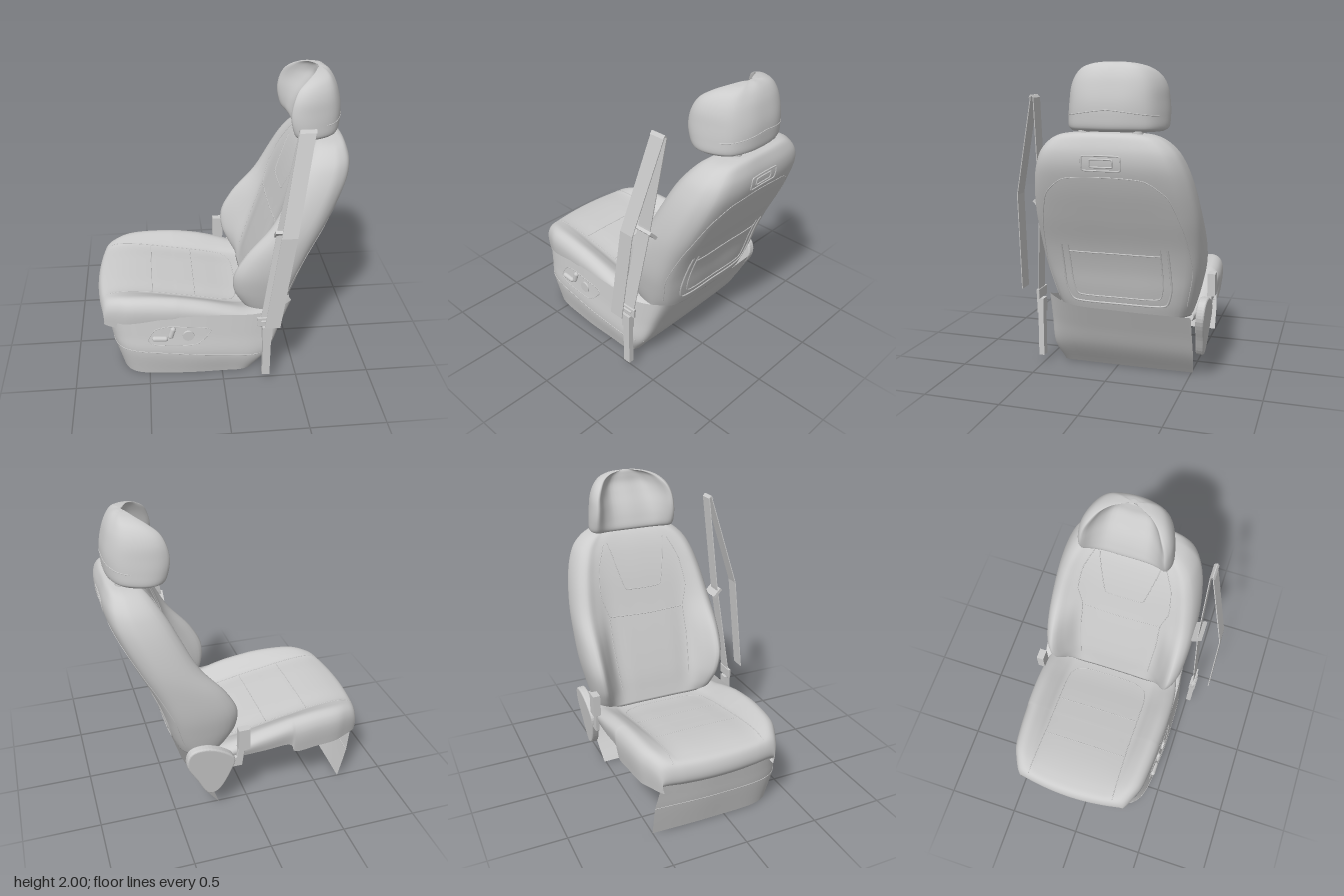
import * as THREE from 'three';

const V = (x, y, z) => new THREE.Vector3(x, y, z);
const mat = new THREE.MeshStandardMaterial({ color: 0xcccccc, side: THREE.DoubleSide });
const ZC = -0.09; // centre line of the seat

export function createModel() {
  const group = new THREE.Group();
  const add = (name, geo, x = 0, y = 0, z = 0) => {
    const m = new THREE.Mesh(geo, mat);
    m.name = name;
    m.position.set(x, y, z);
    group.add(m);
    m.updateMatrixWorld();
    return m;
  };

  // Smooth skin through cross-sections, interpolated both ways
  const loft = (sections, nu, nv, closed = false, caps = false) => {
    const rows = sections.map(s => {
      const c = new THREE.CatmullRomCurve3(s, closed);
      return Array.from({ length: closed ? nu : nu + 1 }, (_, i) => c.getPoint(i / nu));
    });
    const cols = rows[0].map((_, i) => new THREE.CatmullRomCurve3(rows.map(r => r[i])));
    const n = cols.length, pos = [], idx = [];
    for (let j = 0; j <= nv; j++) cols.forEach(c => pos.push(...c.getPoint(j / nv).toArray()));
    for (let j = 0; j < nv; j++) for (let i = 0; i < nu; i++) {
      const a = j * n + i, b = j * n + (i + 1) % n;
      idx.push(a, b, a + n, b, b + n, a + n);
    }
    if (caps) for (const j of [0, nv]) {
      const mid = V(0, 0, 0), k = pos.length / 3;
      for (let i = 0; i < n; i++) mid.add(V(...pos.slice((j * n + i) * 3, (j * n + i) * 3 + 3)));
      pos.push(...mid.divideScalar(n).toArray());
      for (let i = 0; i < n; i++) {
        const a = j * n + i, b = j * n + (i + 1) % n;
        idx.push(...(j ? [a, b, k] : [b, a, k]));
      }
    }
    const g = new THREE.BufferGeometry();
    g.setAttribute('position', new THREE.Float32BufferAttribute(pos, 3));
    g.setIndex(idx);
    g.computeVertexNormals();
    return g;
  };

  // Closed ring from half a section of [x, z offset], mirrored about the centre line
  const ring = (half, y, zc) => [
    ...half.map(([x, z]) => V(x, y, zc + z)),
    ...half.slice(1, -1).reverse().map(([x, z]) => V(x, y, zc - z))];

  // Thin cord laid on a mesh by casting each path point along dir
  const cord = (name, mesh, pts, dir, r = 0.004, closed = false, tension = 0.3) => {
    const path = new THREE.CatmullRomCurve3(pts, closed, 'catmullrom', tension);
    const hits = [];
    for (let i = 0; i <= (closed ? 39 : 40); i++) {
      const p = path.getPoint(i / 40);
      const h = new THREE.Raycaster(p.addScaledVector(dir, -3), dir).intersectObject(mesh)[0];
      if (h) hits.push(h.point);
    }
    add(name, new THREE.TubeGeometry(new THREE.CatmullRomCurve3(hits, closed), 80, r, 6, closed));
  };

  // Bevelled plate from an outline of [x, y], rounded or straight-edged
  const plate = (pts, depth, bevel, smooth = true) => {
    const curve = new THREE.CatmullRomCurve3(pts.map(p => V(p[0], p[1], 0)), true);
    const outline = smooth ? curve.getPoints(48).slice(0, -1) : curve.points;
    const s = new THREE.Shape(outline.map(p => new THREE.Vector2(p.x, p.y)));
    return new THREE.ExtrudeGeometry(s, { depth, bevelSize: bevel, bevelThickness: bevel, bevelSegments: 4 });
  };

  // Backrest: y, centre front, bolster front, back, half width
  const backrest = add('backrest', loft([
    [0.44, 0.18, 0.18, 0.45, 0.43], [0.52, 0.2, 0.13, 0.48, 0.455], [0.62, 0.225, 0.085, 0.51, 0.48],
    [0.75, 0.265, 0.08, 0.545, 0.505], [0.9, 0.315, 0.155, 0.6, 0.515], [1.1, 0.385, 0.32, 0.695, 0.51],
    [1.3, 0.455, 0.425, 0.785, 0.48], [1.42, 0.505, 0.485, 0.825, 0.445], [1.5, 0.545, 0.535, 0.83, 0.405],
    [1.56, 0.585, 0.58, 0.815, 0.345], [1.59, 0.615, 0.615, 0.8, 0.285], [1.606, 0.645, 0.65, 0.775, 0.18],
  ].map(([y, f, b, r, w]) => ring([
    [f, 0], [f, 0.3 * w], [f - 0.003, 0.56 * w], [b * 0.5 + f * 0.5, 0.72 * w], [b, 0.86 * w],
    [b * 0.85 + r * 0.15, 0.965 * w], [b * 0.45 + r * 0.55, w], [r - 0.09 * (r - f) / 0.3, 0.96 * w],
    [r - 0.03 * (r - f) / 0.3, 0.84 * w], [r, 0.5 * w], [r, 0]], y, ZC)), 80, 60, true, true));

  // Cushion: x, centre height, bolster height, far skirt height, half width
  const cushion = add('cushion', loft([
    [-0.79, 0.385, 0.385, 0.365, 0.39], [-0.83, 0.43, 0.43, 0.365, 0.39], [-0.835, 0.49, 0.49, 0.365, 0.39],
    [-0.81, 0.545, 0.545, 0.365, 0.41], [-0.74, 0.565, 0.58, 0.365, 0.445], [-0.62, 0.57, 0.598, 0.36, 0.475],
    [-0.46, 0.555, 0.602, 0.36, 0.495], [-0.31, 0.53, 0.592, 0.36, 0.505], [-0.28, 0.525, 0.588, 0.42, 0.505],
    [-0.1, 0.49, 0.555, 0.42, 0.51], [0.06, 0.455, 0.51, 0.41, 0.505], [0.18, 0.44, 0.475, 0.4, 0.49],
    [0.34, 0.44, 0.46, 0.4, 0.45],
  ].map(([x, c, b, s, w]) => {
    const side = (k, low) => [[0.97, low], [1, (low + b) / 2], [0.99, low * 0.25 + b * 0.75], [0.945, b - (b - low) * 0.08],
      [0.86, b], [0.72, (b + c) / 2], [0.61, c], [0.3, c]].map(([u, y]) =>
      V(x + (x < -0.7 ? 0.045 * u * u : 0), y, ZC + 0.005 + k * u * w));
    return [...side(-1, s), V(x, c, ZC), ...side(1, 0.37).reverse()];
  }), 64, 60));

  // Base skirt wrapping front, +z side and rear: bottom x,z / seam x,y,z / top x,y,z
  const skirt = [
    [-0.68, -0.5, -0.73, 0.22, -0.5, -0.768, 0.41, -0.47], [-0.69, -0.08, -0.75, 0.22, -0.08, -0.79, 0.41, -0.08],
    [-0.67, 0.27, -0.72, 0.22, 0.29, -0.755, 0.41, 0.28], [-0.6, 0.36, -0.64, 0.22, 0.39, -0.67, 0.42, 0.37],
    [-0.3, 0.405, -0.3, 0.2, 0.445, -0.3, 0.485, 0.42], [0, 0.41, 0, 0.17, 0.45, 0, 0.49, 0.425],
    [0.15, 0.405, 0.23, 0.15, 0.435, 0.25, 0.48, 0.415], [0.205, 0.37, 0.315, 0.16, 0.4, 0.455, 0.54, 0.38],
    [0.21, 0.25, 0.33, 0.17, 0.27, 0.475, 0.49, 0.26], [0.21, -0.08, 0.33, 0.17, -0.08, 0.475, 0.47, -0.08],
    [0.2, -0.51, 0.31, 0.16, -0.53, 0.455, 0.46, -0.54]];
  const base = add('baseSkirt', loft(skirt.map(([a, b, c, d, e, f, g, h]) =>
    [V(a, 0, b), V(c, d, e), V((c + f) / 2, (d + g) / 2, (e + h) / 2), V(f, g, h)]), 18, 80));
  add('skirtSeam', new THREE.TubeGeometry(new THREE.CatmullRomCurve3(
    skirt.slice(0, 8).map(s => V(s[2], s[3], s[4]))), 90, 0.003, 6));

  // Headrest: y, centre front, wing front, back, half width
  const HZ = -0.115;
  const headrest = add('headrest', loft([
    [1.612, 0.54, 0.53, 0.765, 0.28], [1.63, 0.505, 0.485, 0.79, 0.302], [1.7, 0.52, 0.455, 0.8, 0.307],
    [1.78, 0.555, 0.445, 0.798, 0.302], [1.86, 0.605, 0.46, 0.782, 0.29], [1.92, 0.64, 0.49, 0.763, 0.262],
    [1.965, 0.65, 0.55, 0.738, 0.213], [1.99, 0.655, 0.605, 0.712, 0.14], [2.0, 0.66, 0.64, 0.685, 0.06],
  ].map(([y, c, f, r, w]) => ring([
    [c, 0], [c, 0.42 * w], [c * 0.55 + f * 0.45, 0.68 * w], [f, 0.89 * w], [f * 0.85 + r * 0.15, 0.98 * w],
    [f * 0.55 + r * 0.45, 0.95 * w], [f * 0.2 + r * 0.8, 0.76 * w], [r - 0.012, 0.42 * w], [r, 0]], y, HZ)), 64, 44, true, true));
  for (const k of [-1, 1]) {
    add('headrestPost', new THREE.CylinderGeometry(0.015, 0.015, 0.2, 16), 0.72, 1.6, HZ + k * 0.16);
    add('postCollar', new THREE.CylinderGeometry(0.032, 0.035, 0.04, 20), 0.72, 1.6, HZ + k * 0.16);
  }

  // Upholstery seams and rear panel details, as cords on the surfaces
  const toBack = V(1, 0, 0), toFront = V(-1, 0, 0), down = V(0, -1, 0), toSide = V(0, 0, -1);
  const yz = (pts, zc = ZC) => pts.map(([z, y]) => V(0, y, zc + z));
  const both = h => [...h, ...h.slice().reverse().map(([z, y]) => [-z, y])];
  for (const k of [-1, 1]) {
    cord('bolsterSeam', backrest, yz([[0.26, 0.56], [0.28, 0.85], [0.28, 1.05], [0.32, 1.2], [0.3, 1.38], [0.24, 1.52]].map(([z, y]) => [z * k, y])), toBack, 0.003);
    cord('cushionSeam', cushion, [[-0.78, 0.31], [-0.4, 0.3], [0, 0.3], [0.09, 0.27], [0.125, 0.18], [0.13, 0]].map(([x, z]) => V(x, 0, ZC + k * z)), down, 0.003);
  }
  cord('insertSeam', backrest, yz(both([[0.21, 1.53], [0.13, 1.22]])), toBack, 0.003, false, 0.1);
  cord('lumbarSeam', backrest, yz([[-0.28, 1.05], [0, 1.04], [0.28, 1.05]]), toBack, 0.003);
  for (const x of [-0.46, -0.17]) cord('crossSeam', cushion, [V(x, 0, -0.38), V(x, 0, 0.2)], down, 0.003);
  cord('rearPanelEdge', backrest, yz(both([[0.42, 0.52], [0.465, 0.75], [0.44, 1.02], [0.37, 1.24], [0.25, 1.34], [0.1, 1.357]])), toFront, 0.003);
  cord('pocketRim', backrest, yz(both([[0.335, 0.91], [0.34, 0.65], [0.31, 0.54], [0.24, 0.52]])), toFront, 0.007);
  cord('pocketFold', backrest, yz(both([[0.29, 0.91], [0.29, 0.68], [0.27, 0.58], [0.2, 0.565]])), toFront, 0.005);
  cord('pocketTop', backrest, yz([[-0.29, 0.865], [0.29, 0.865]]), toFront, 0.005);
  for (const [w, h] of [[0.115, 0.042], [0.068, 0.022]])
    cord('rearHandle', backrest, yz([[-w, -h * 0.6], [-w * 0.85, -h], [w * 0.85, -h], [w, -h * 0.6], [w, h * 0.6], [w * 0.85, h], [-w * 0.85, h], [-w, h * 0.6]].map(([z, y]) => [z, 1.44 + y])), toFront, 0.005, true);
  cord('headrestSeam', headrest, yz([[-0.27, 1.7], [0, 1.735], [0.27, 1.7]], HZ), toFront, 0.003);

  // Power seat controls on the +z side
  cord('controlPanelEdge', base, [[-0.5, 0.31], [-0.45, 0.39], [-0.35, 0.415], [-0.12, 0.4], [-0.08, 0.37], [-0.18, 0.275], [-0.45, 0.275]]
    .map(([x, y]) => V(x, y, 0)), toSide, 0.003, true);
  add('roundKnob', new THREE.CylinderGeometry(0.038, 0.042, 0.04, 28).rotateX(Math.PI / 2), -0.23, 0.345, 0.425);
  for (const [x, y, a, l] of [[-0.42, 0.325, 1.5, 0.07], [-0.34, 0.37, -0.3, 0.055]])
    add('seatSwitch', new THREE.CapsuleGeometry(0.019, l, 6, 14), x, y, 0.428).rotation.z = a;

  // Recliner cover and fixed buckle on the -z side
  add('reclinerCover', plate([[0.28, 0.175], [0.355, 0.3], [0.425, 0.45], [0.4, 0.53], [0.31, 0.545],
    [0.2, 0.5], [0.13, 0.43], [0.155, 0.33], [0.23, 0.19]], 0.03, 0.012), 0, 0, -0.57).rotation.x = -0.08;
  add('buckleHead', new THREE.BoxGeometry(0.075, 0.15, 0.05), 0.06, 0.575, -0.6);
  add('buckleStalk', plate([[0.05, 0.52], [0.09, 0.52], [0.1, 0.43], [0.2, 0.4], [0.2, 0.36], [0.07, 0.36]], 0.02, 0.003, false), 0, 0, -0.6);

  // Seat belt: two flat straps, guide, tongue and lower stalk
  const strap = (name, pts, hw = 0.05, t = 0.003) => {
    for (let i = 1; i < pts.length; i++) {
      const ends = [pts[i - 1], pts[i]].map(([x, y, z]) =>
        [V(x - hw, y, z - t), V(x + hw, y, z - t), V(x + hw, y, z + t), V(x - hw, y, z + t)]);
      const g = loft(ends, 4, 1, true, true).toNonIndexed();
      g.computeVertexNormals();
      add(name, g);
    }
  };
  strap('shoulderBelt', [[0.49, 1.79, 0.462], [0.49, 1.808, 0.45], [0.49, 1.79, 0.435], [0.385, 1.15, 0.457], [0.29, 0.5, 0.515]]);
  strap('outerBelt', [[0.49, 1.808, 0.45], [0.385, 1.17, 0.606], [0.30, 0.52, 0.628]]);
  add('beltGuide', new THREE.BoxGeometry(0.14, 0.08, 0.02), 0.39, 1.115, 0.455).rotation.x = 0.75;
  add('beltTongue', plate([[-0.06, -0.03], [0.06, -0.03], [0.065, 0.03], [-0.065, 0.03]], 0.012, 0.004, false), 0.285, 0.49, 0.51);
  add('tongueBar', new THREE.CapsuleGeometry(0.01, 0.07, 4, 10).rotateZ(Math.PI / 2), 0.285, 0.495, 0.525);
  add('lowerBuckle', new THREE.BoxGeometry(0.065, 0.1, 0.045), 0.285, 0.4, 0.515);
  add('lowerStalk', new THREE.BoxGeometry(0.052, 0.34, 0.037), 0.285, 0.22, 0.515);

  return group;
}
